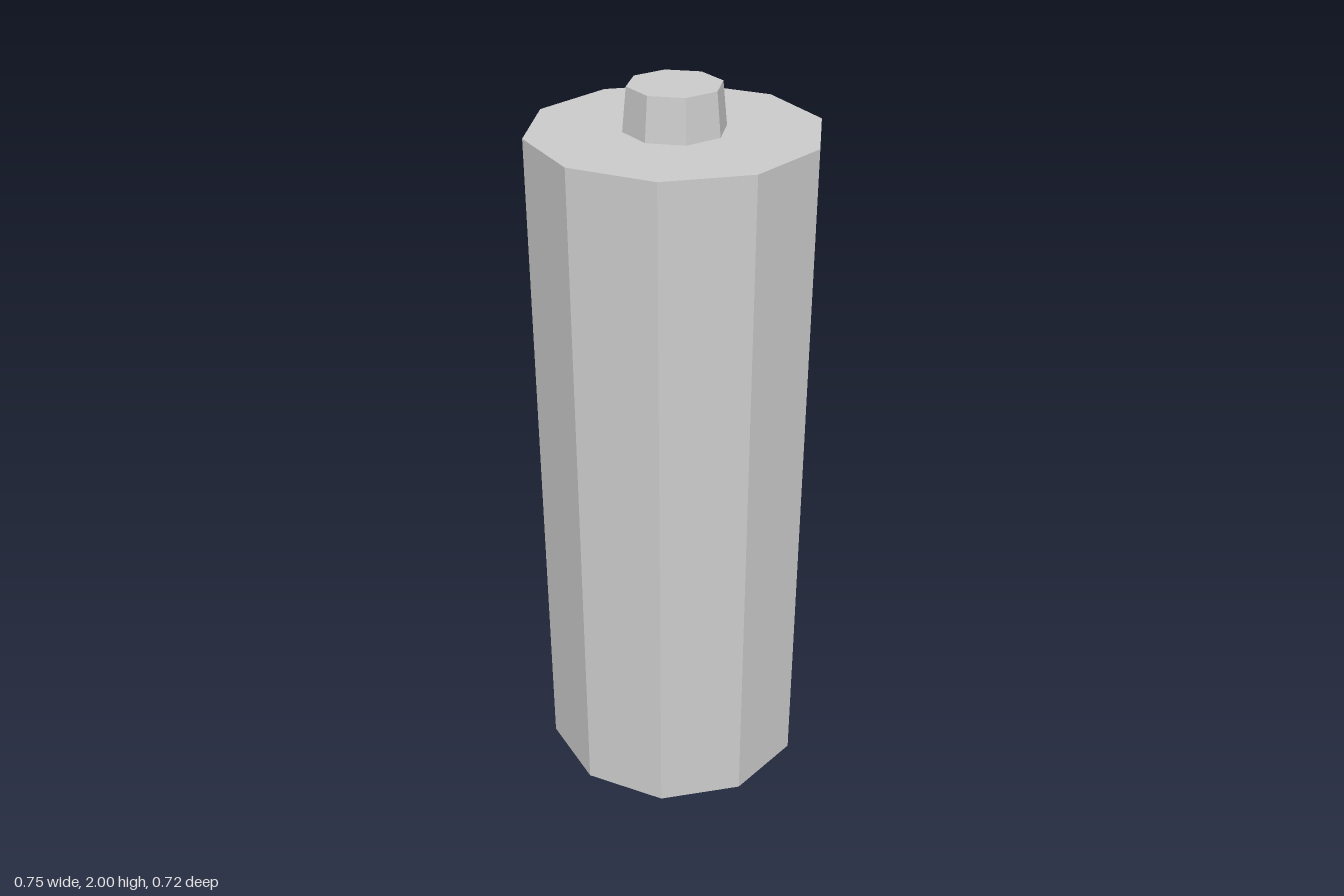
import * as THREE from 'three';

export function createModel() {
  const group = new THREE.Group();
  const grey = new THREE.MeshStandardMaterial({ color: 0xcccccc });
  grey.name = 'light grey';

  const bodyHeight = 1.888;
  const capHeight = 2 - bodyHeight;

  // Faceted prism or frustum standing on y = base
  function addPrism(name, topRadius, bottomRadius, height, sides, base, turn) {
    const geometry = new THREE.CylinderGeometry(
      topRadius, bottomRadius, height, sides, 1, false, turn
    ).toNonIndexed();
    geometry.computeVertexNormals(); // flat facets
    const mesh = new THREE.Mesh(geometry, grey);
    mesh.name = name;
    mesh.position.y = base + height / 2;
    group.add(mesh);
  }

  // Ten-sided body with corners on the x axis
  addPrism('body', 0.377, 0.377, bodyHeight, 10, 0, Math.PI / 2);
  // Eight-sided tapered terminal on top
  addPrism('terminal', 0.121, 0.132, capHeight, 8, bodyHeight, 0);

  return group;
}
